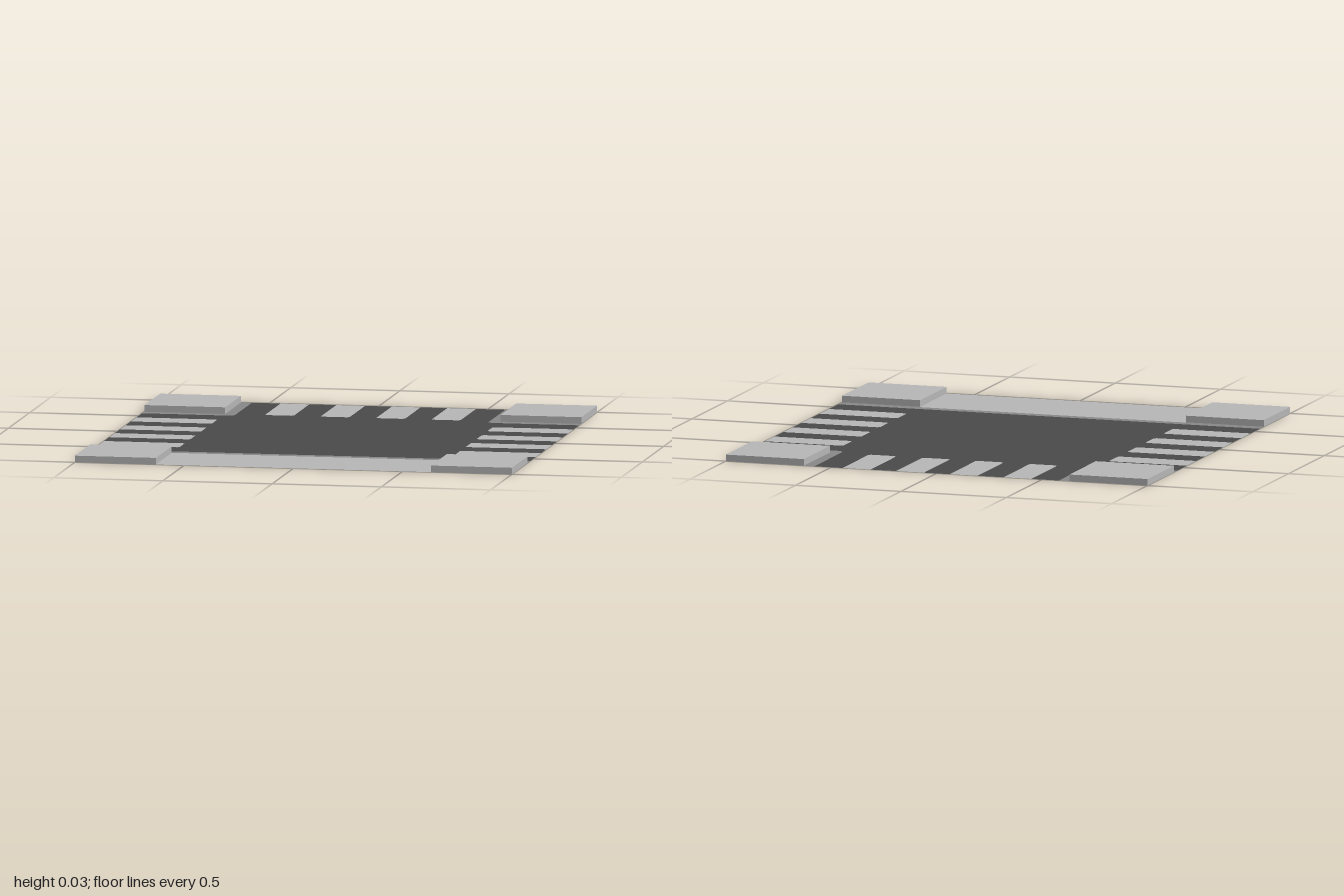
import * as THREE from 'three';

const mat = (name, color) => {
  const m = new THREE.MeshStandardMaterial({ color, side: THREE.DoubleSide });
  m.name = name;
  return m;
};

const E = 0.63;   // inner edge of corner blocks and pads
const L = 0.58;   // inner edge of the grey borders
const H = 0.03;   // block height
const R = 0.02;   // bevel of border corners
const C = 0.01;   // bevel of pad corners
const HW = 0.066; // half width of a pad
const CENTRES = [-0.383, -0.128, 0.126, 0.38];

export function createModel() {
  const group = new THREE.Group();
  const light = mat('light grey', 0xb6b6b6);
  const mid = mat('mid grey', 0x888888);
  const dark = mat('dark grey', 0x4a4a4a);

  const add = (name, geometry, material) => {
    const mesh = new THREE.Mesh(geometry, material);
    mesh.name = name;
    group.add(mesh);
    return mesh;
  };
  // flat face at y = 0 from [x, z] outline points
  const sheet = (name, points, material) => {
    const shape = new THREE.Shape(points.map(([x, z]) => new THREE.Vector2(x, -z)));
    return add(name, new THREE.ShapeGeometry(shape).rotateX(-Math.PI / 2), material);
  };

  // pad outline, given along the edge (t) and outwards (d)
  const pad = (t) => [
    [t - HW, 1], [t - HW, E + C], [t - HW + C, E],
    [t + HW - C, E], [t + HW, E + C], [t + HW, 1],
  ];
  const toBack = ([t, d]) => [t, -d];
  const toLeft = ([t, d]) => [d, t];
  const toRight = ([t, d]) => [-d, t];

  // dark base, notched so that each pad lies flush in it
  const pads = CENTRES.map(pad);
  const up = pads.flat();
  const down = [...up].reverse();
  sheet('base', [
    [-1, 0.575], ...down.map(toRight), [-1, -L],
    [-L - R, -L], [-L, -L - R], [-L, -1],
    ...up.map(toBack), [L, -1], [L, -L - R], [L + R, -L], [1, -L],
    ...up.map(toLeft), [1, 0.575],
  ], dark);

  // pads on three sides
  for (const p of pads) {
    sheet('backPad', p.map(toBack), light);
    sheet('leftPad', p.map(toLeft), light);
    sheet('rightPad', p.map(toRight), light);
  }

  // front strip and its border
  sheet('frontStrip', [[-E, 0.622], [E, 0.622], [E, 1], [-E, 1]], light);
  sheet('frontBorder', [
    [-1, 0.575], [1, 0.575], [1, E], [E, E], [E, 0.622], [-E, 0.622], [-E, E], [-1, E],
  ], mid);

  for (const s of [-1, 1]) {
    // L-shaped borders at the back corners
    sheet('cornerBorder', [
      [s, -L], [s * (L + R), -L], [s * L, -L - R], [s * L, -1], [s * E, -1], [s * E, -E], [s, -E],
    ], mid);
    // raised corner blocks, open underneath
    for (const f of [-1, 1]) {
      const box = new THREE.BoxGeometry(1 - E, H, 1 - E);
      const index = Array.from(box.index.array);
      index.splice(18, 6);
      box.setIndex(index);
      box.clearGroups();
      add('cornerBlock', box, light).position.set(s * (1 + E) / 2, H / 2, f * (1 + E) / 2);
    }
  }
  return group;
}
